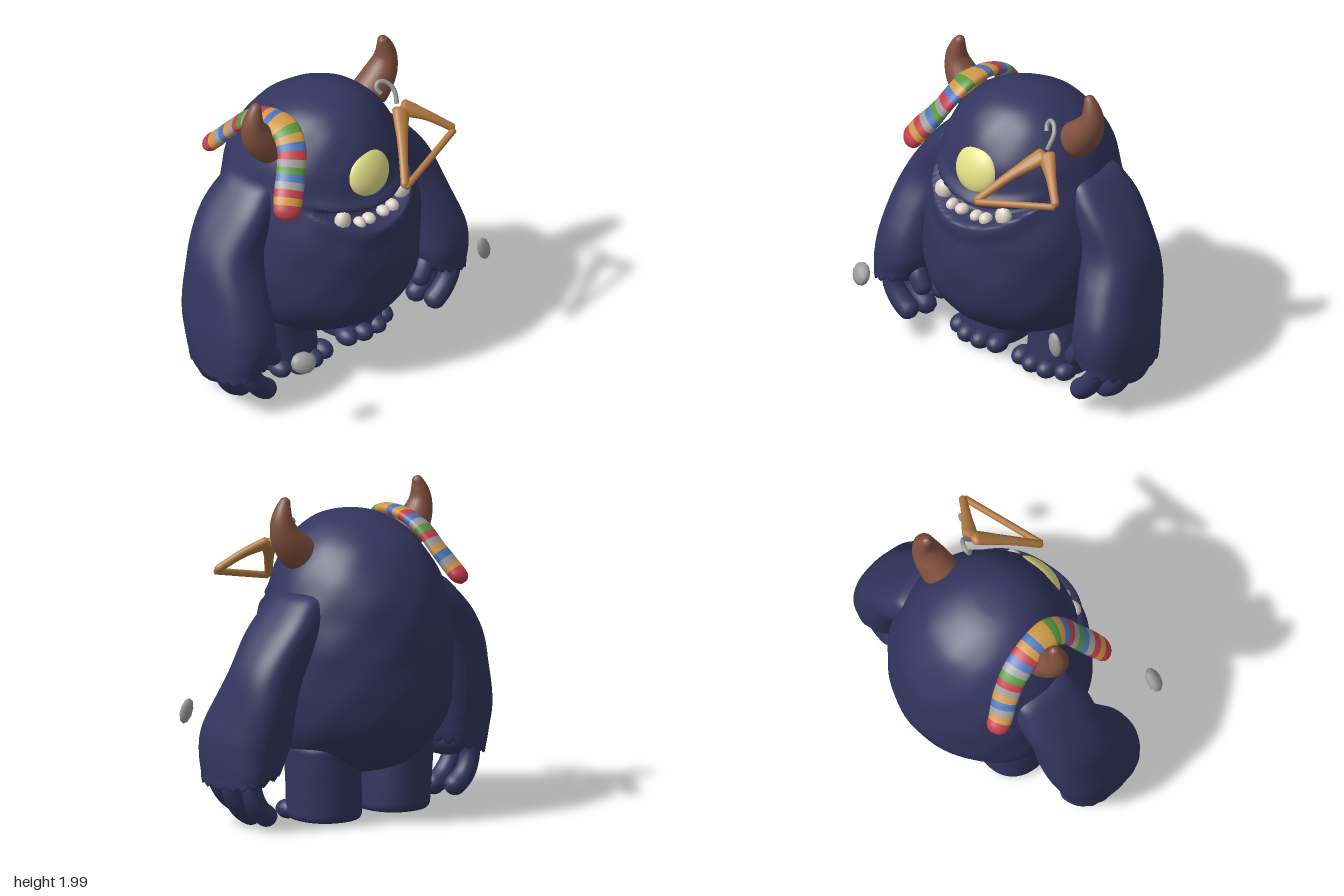
import * as THREE from 'three';

const mat = (name, color) => Object.assign(new THREE.MeshStandardMaterial({ color }), { name });
const M = {
  fur: mat('navyFur', 0x34355f), horn: mat('hornBrown', 0x80503f), eye: mat('eyeYellow', 0xe2df88),
  tooth: mat('toothIvory', 0xddd5c6), wood: mat('hangerWood', 0xb67c42), grey: mat('grey', 0x9c9c9c),
  red: mat('sockRed', 0xc33f4c), green: mat('sockGreen', 0x55973c), blue: mat('sockBlue', 0x4a74bd),
  orange: mat('sockOrange', 0xcf9745),
};

// Skin a grid of rings; at(t, angle) gives each vertex
function skin(n, m, at) {
  const pos = [], idx = [];
  for (let i = 0; i <= n; i++) for (let j = 0; j < m; j++) pos.push(...at(i / n, (j / m) * Math.PI * 2).toArray());
  for (let i = 0; i < n; i++) for (let j = 0; j < m; j++) {
    const k = (j + 1) % m, a = i * m + j, b = i * m + k, c = b + m, d = a + m;
    idx.push(a, b, c, a, c, d);
  }
  const g = new THREE.BufferGeometry();
  g.setAttribute('position', new THREE.Float32BufferAttribute(pos, 3));
  g.setIndex(idx);
  g.computeVertexNormals();
  return g;
}

// Smooth value from a list of rows at t in 0..1
function sample(rows, t) {
  const f = t * (rows.length - 1), i = Math.min(Math.floor(f), rows.length - 2), u = f - i;
  const row = k => rows[Math.max(0, Math.min(rows.length - 1, k))];
  return rows[i].map((b, k) => {
    const a = row(i - 1)[k], c = row(i + 1)[k], d = row(i + 2)[k];
    return b + 0.5 * u * (c - a + u * (2 * a - 5 * b + 4 * c - d + u * (3 * (b - c) + d - a)));
  });
}

// Upright form from rows of [y, centreX, radiusX, centreZ, radiusZ]; power below 1 squares it off
const bend = (v, power) => Math.sign(v) * Math.abs(v) ** power;
function loft(rows, n, m, power = 1, rule = () => {}) {
  return skin(n, m, (t, a) => {
    const [y, cx, rx, cz, rz] = sample(rows, t);
    const p = new THREE.Vector3(cx + Math.max(rx, 0) * bend(Math.cos(a), power), y, cz - Math.max(rz, 0) * bend(Math.sin(a), power));
    rule(p, a, t);
    return p;
  });
}

// Tube along points with round ends; radii rows are [thickness, width], cap is the rounded share of each end
function sweep(pts, radii, cap, n, m, out = () => new THREE.Vector3(1, 0, 0)) {
  const curve = new THREE.CatmullRomCurve3(pts.map(p => new THREE.Vector3(...p)));
  return skin(n, m, (t, a) => {
    const c = curve.getPointAt(t), T = curve.getTangentAt(t), N = out(c);
    N.addScaledVector(T, -N.dot(T)).normalize();
    const B = T.clone().cross(N), [r, w] = sample(radii, t);
    const e = Math.max(0, 1 - Math.min(t, 1 - t) / cap), k = Math.sqrt(Math.max(0, 1 - e * e));
    return c.addScaledVector(N, k * r * Math.cos(a)).addScaledVector(B, k * w * Math.sin(a));
  });
}
const round = list => list.map(r => [r, r]);
const smooth = THREE.MathUtils.smoothstep;

export function createModel() {
  const model = new THREE.Group();
  const add = (name, geo, material) => {
    const mesh = new THREE.Mesh(geo, material);
    mesh.name = name;
    model.add(mesh);
    return mesh;
  };
  const blob = (name, p, s, material, detail = 20) => {
    const mesh = add(name, new THREE.SphereGeometry(1, detail, Math.ceil(detail * 0.7)), material);
    mesh.position.set(...p);
    mesh.scale.set(...s);
    return mesh;
  };

  // Egg-shaped body, with a smiling mouth pressed into the +x face
  const bodyRows = [
    [0.28, -0.04, 0, 0, 0], [0.295, -0.04, 0.2, 0, 0.22], [0.35, -0.04, 0.35, 0, 0.37],
    [0.45, -0.025, 0.475, 0, 0.49], [0.6, -0.03, 0.57, 0, 0.575], [0.8, -0.04, 0.613, 0, 0.605],
    [1.0, -0.045, 0.613, 0, 0.605], [1.12, -0.055, 0.6, 0, 0.595], [1.25, -0.07, 0.57, 0, 0.57],
    [1.4, -0.085, 0.525, 0, 0.53], [1.55, -0.07, 0.47, 0, 0.475], [1.7, -0.055, 0.37, 0, 0.375],
    [1.8, -0.03, 0.24, 0, 0.25], [1.845, -0.02, 0.12, 0, 0.13], [1.855, -0.02, 0, 0, 0],
  ];
  add('body', loft(bodyRows, 170, 110, 1, (p, a) => {
    const k = (p.z / 0.42) ** 2;
    if (Math.cos(a) > 0 && k < 1) {
      const low = 1.18 + 0.16 * k, high = 1.27 + 0.07 * k, y = p.y, fade = Math.sqrt(1 - k);
      p.x -= 0.1 * fade * smooth(y, low - 0.012, low + 0.018) * (1 - smooth(y, high - 0.015, high + 0.02));
      p.x += 0.035 * fade * smooth(y, low - 0.16, low - 0.03) * (1 - smooth(y, low - 0.02, low + 0.02));
      p.x += 0.02 * fade * smooth(y, high - 0.01, high + 0.03) * (1 - smooth(y, high + 0.03, high + 0.1));
    }
    const bump = 0.004 * (Math.sin(5 * a + 9 * p.y) + Math.sin(16 * p.y - 3 * a) * Math.cos(7 * a));
    const rim = smooth(p.y, 0.3, 0.5) * (1 - smooth(p.y, 1.7, 1.83));
    p.x += bump * rim * Math.cos(a);
    p.z -= bump * rim * Math.sin(a);
  }), M.fur);

  // Eye and teeth
  blob('eye', [0.385, 1.472, 0], [0.075, 0.15, 0.158], M.eye, 36).rotation.z = 0.3;
  for (const [z, y, x, h, w] of [
    [0.24, 1.25, 0.425, 0.066, 0.055], [-0.24, 1.25, 0.425, 0.066, 0.055], [0.135, 1.2, 0.46, 0.042, 0.036],
    [0.06, 1.2, 0.46, 0.035, 0.042], [-0.055, 1.2, 0.46, 0.034, 0.037], [-0.13, 1.205, 0.46, 0.042, 0.04],
  ]) blob('tooth', [x, y, z], [0.045, h, w], M.tooth, 16);

  for (const s of [1, -1]) {
    const side = s > 0 ? 'Plus' : 'Minus';
    const path = pts => pts.map(([x, y, z]) => [x, y, z * s]);

    // Horn curving out and then in
    add('horn' + side, sweep(path([[-0.04, 1.63, 0.39], [-0.04, 1.69, 0.455], [-0.04, 1.77, 0.515],
      [-0.04, 1.85, 0.54], [-0.04, 1.93, 0.53], [-0.04, 2.0, 0.505]]),
    round([0.115, 0.11, 0.097, 0.075, 0.052, 0.026]), 0.06, 40, 24), M.horn);

    // Arm with a ragged cuff that rises on the inner side
    const arm = [
      [0.37, 0.03, 0, 0.79, 0], [0.36, 0.03, 0.18, 0.79, 0.1], [0.29, 0.035, 0.265, 0.8, 0.17],
      [0.33, 0.03, 0.29, 0.79, 0.19], [0.45, 0.025, 0.305, 0.785, 0.2], [0.6, 0, 0.305, 0.78, 0.2],
      [0.8, -0.055, 0.275, 0.75, 0.193], [1.0, -0.105, 0.238, 0.695, 0.187], [1.2, -0.12, 0.232, 0.6, 0.165],
      [1.34, -0.12, 0.21, 0.51, 0.135], [1.42, -0.12, 0.16, 0.45, 0.1], [1.44, -0.12, 0, 0.42, 0],
    ].map(([y, cx, rx, cz, rz]) => [y, cx, rx, cz * s, rz]);
    add('arm' + side, loft(arm, 72, 72, 0.78, (p, a, t) => {
      if (t < 0.5) p.y += (0.97 - Math.abs(p.z)) * 0.3 * (1 - smooth(p.y, 0.3, 0.6));
      const edge = Math.max(0, 1 - Math.abs(t - 0.19) / 0.07);
      p.y -= edge * 0.03 * Math.abs(Math.sin(a * 9));
      const bump = 0.006 * Math.sin(11 * p.y + 2 * a) * (1 - smooth(p.y, 1.2, 1.4));
      p.x += bump * Math.cos(a);
      p.z -= bump * Math.sin(a);
    }), M.fur);

    // Hand: palm, three curled fingers and a thumb
    blob('palm' + side, [0.05, 0.36, 0.79 * s], [0.22, 0.11, 0.13], M.fur);
    for (const pts of [
      [[0.22, 0.42, 0.81], [0.235, 0.29, 0.81], [0.235, 0.18, 0.74], [0.23, 0.1, 0.635]],
      [[0.04, 0.4, 0.86], [0.045, 0.25, 0.86], [0.045, 0.13, 0.79], [0.04, 0.045, 0.655]],
      [[-0.12, 0.4, 0.84], [-0.13, 0.27, 0.85], [-0.13, 0.15, 0.8], [-0.125, 0.06, 0.68]],
    ]) add('finger' + side, sweep(path(pts), round([0.062, 0.062, 0.066, 0.066]), 0.16, 32, 18), M.fur);
    add('thumb' + side, sweep(path([[0.14, 0.48, 0.72], [0.19, 0.38, 0.645], [0.2, 0.265, 0.575]]),
      round([0.06, 0.062, 0.058]), 0.22, 28, 18), M.fur);

    // Stubby leg and four toes
    add('leg' + side, loft([
      [0.03, -0.1, 0, 0.265, 0], [0.02, -0.1, 0.17, 0.265, 0.16], [0.04, -0.1, 0.23, 0.265, 0.205],
      [0.12, -0.105, 0.235, 0.268, 0.212], [0.25, -0.11, 0.23, 0.275, 0.215], [0.4, -0.11, 0.23, 0.285, 0.215],
      [0.5, -0.1, 0.22, 0.285, 0.2], [0.55, -0.1, 0, 0.285, 0],
    ].map(([y, cx, rx, cz, rz]) => [y, cx, rx, cz * s, rz]), 32, 40, 0.9), M.fur);
    [0.1, 0.205, 0.315, 0.415].forEach((z, i) => {
      const x = [0.09, 0.115, 0.11, 0.06][i];
      blob('toe' + side, [x, 0.07, z * s], [0.08, 0.058, 0.062], M.fur, 18);
    });
  }

  // Striped sock draped over the head, one colour group per band
  const stripes = 'red red orange grey blue orange grey red green grey blue red orange blue orange orange green orange blue red grey green blue grey red orange red red'.split(' ');
  const perBand = 4, around = 24;
  const sock = sweep([[-0.53, 1.43, 0.475], [-0.46, 1.49, 0.46], [-0.36, 1.61, 0.415], [-0.24, 1.73, 0.385],
    [-0.09, 1.79, 0.37], [0.07, 1.79, 0.375], [0.16, 1.71, 0.41], [0.22, 1.59, 0.475], [0.28, 1.48, 0.55],
    [0.33, 1.375, 0.615]],
  [[0.05, 0.068], [0.048, 0.075], [0.042, 0.08], [0.042, 0.085], [0.042, 0.088], [0.042, 0.09], [0.043, 0.088],
    [0.046, 0.088], [0.056, 0.09], [0.054, 0.078]],
  0.05, stripes.length * perBand, around, c => new THREE.Vector3(c.x + 0.05, c.y - 1.3, 0.4 * c.z));
  const sockColours = ['red', 'orange', 'grey', 'blue', 'green'];
  const bandSize = perBand * around * 6;
  stripes.forEach((colour, b) => sock.addGroup(b * bandSize, bandSize, sockColours.indexOf(colour)));
  add('sock', sock, sockColours.map(colour => M[colour]));

  // Wooden coat hanger with a wire hook
  const apex = [0.23, 1.675, -0.41], front = [0.57, 1.38, -0.135], back = [0.435, 1.495, -0.665];
  const up = () => new THREE.Vector3(0.68, 0.73, 0);
  const mid = (a, b, lift) => a.map((v, i) => (v + b[i]) / 2 + (i === 1 ? lift : 0));
  for (const end of [front, back])
    add('hangerArm', sweep([apex, mid(apex, end, 0.015), end],
      [[0.034, 0.056], [0.031, 0.048], [0.027, 0.036], [0.025, 0.03], [0.024, 0.027], [0.024, 0.026]], 0.06, 40, 14, up), M.wood);
  add('hangerBar', sweep([front, mid(front, back, 0), back], round([0.021, 0.021]), 0.03, 40, 12, up), M.wood);
  const hook = new THREE.CatmullRomCurve3([[0.21, 1.69, -0.4], [0.19, 1.735, -0.41], [0.16, 1.78, -0.41],
    [0.125, 1.82, -0.375], [0.11, 1.82, -0.335], [0.12, 1.79, -0.32], [0.14, 1.76, -0.335]].map(p => new THREE.Vector3(...p)));
  add('hangerHook', new THREE.TubeGeometry(hook, 32, 0.014, 10), M.grey);

  // Two loose pebbles
  for (const [p, s, r] of [
    [[0.61, 0.54, 0.73], [0.042, 0.07, 0.08], [-0.2, -0.5, 0.35]],
    [[0.57, 0.635, -0.775], [0.024, 0.08, 0.046], [0.25, 0, 0.1]],
  ]) {
    const pebble = add('pebble', new THREE.IcosahedronGeometry(1, 1), M.grey);
    pebble.position.set(...p);
    pebble.scale.set(...s);
    pebble.rotation.set(...r);
  }
  return model;
}
